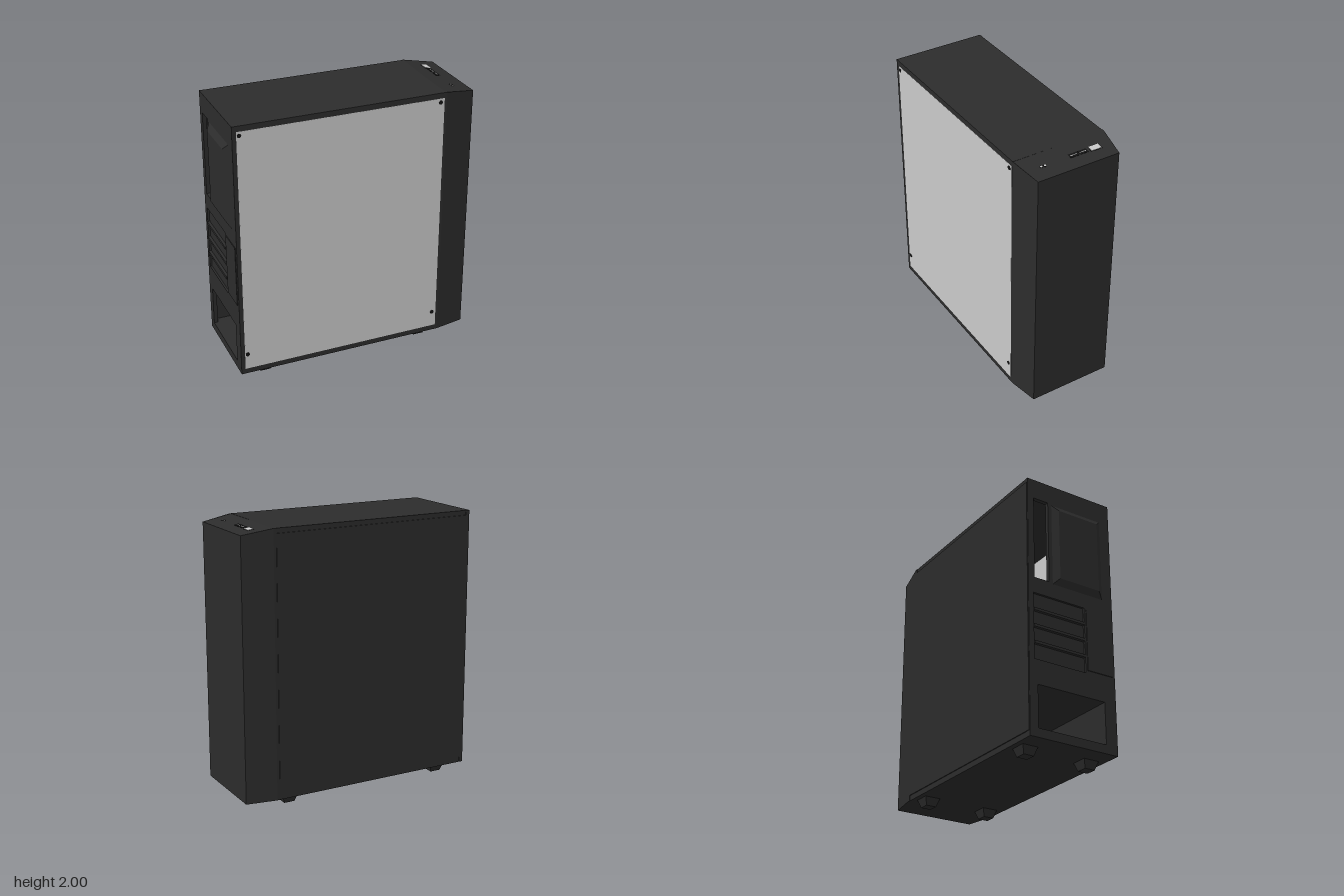
import * as THREE from 'three';

const mat = (name, color) => new THREE.MeshStandardMaterial({ name, color });

export function createModel() {
  const shell = mat('charcoal shell', 0x2c2c2c);
  const black = mat('black', 0x141414);
  const glass = mat('pale glass', 0xcacaca);
  const root = new THREE.Group();
  root.name = 'computerCase';

  const add = (name, geo, material, parent = root) => {
    const m = new THREE.Mesh(geo, material);
    m.name = name;
    parent.add(m);
    return m;
  };
  // Box given by its limits on each axis
  const box = (name, material, [x0, x1], [y0, y1], [z0, z1], parent = root) => {
    const m = add(name, new THREE.BoxGeometry(x1 - x0, y1 - y0, z1 - z0), material, parent);
    m.position.set((x0 + x1) / 2, (y0 + y1) / 2, (z0 + z1) / 2);
    return m;
  };
  // Box whose upper face is scaled by sx, sz
  const frustum = (w, h, d, sx, sz) => {
    const g = new THREE.BoxGeometry(w, h, d);
    const p = g.attributes.position;
    for (let i = 0; i < p.count; i++) {
      if (p.getY(i) > 0) p.setXYZ(i, p.getX(i) * sx, p.getY(i), p.getZ(i) * sz);
    }
    g.computeVertexNormals();
    return g;
  };
  const rect = (T, u0, u1, v0, v1) =>
    new T([[u0, v0], [u1, v0], [u1, v1], [u0, v1]].map(([u, v]) => new THREE.Vector2(u, v)));

  // Hollow shell: roof, floor, solid side panel and glass side
  box('roof', shell, [-0.88, 0.68], [1.96, 2], [-0.35, 0.355]);
  box('floor', shell, [-0.88, 0.68], [0.06, 0.1], [-0.35, 0.355]);
  box('sidePanel', shell, [-0.885, 0.67], [0.1, 1.965], [-0.357, -0.335]);
  box('glassPanel', glass, [-0.86, 0.67], [0.1, 1.96], [0.342, 0.356]);
  for (const x of [-0.84, 0.64]) for (const y of [0.22, 1.93]) {
    const s = add('glassScrew', new THREE.CylinderGeometry(0.015, 0.015, 0.006, 16), black);
    s.rotation.x = Math.PI / 2;
    s.position.set(x, y, 0.3555);
  }

  // Front section: tapered in plan, with a sloping top
  const slopeStart = 0.69, slope = 0.035 / 0.225;
  const plan = new THREE.Shape([[0.67, -0.355], [0.69, -0.355], [0.915, -0.315], [0.915, 0.315],
    [0.69, 0.353], [0.67, 0.353]].map(([x, y]) => new THREE.Vector2(x, y)));
  const hull = new THREE.ExtrudeGeometry(plan, { depth: 1.94, bevelEnabled: false });
  hull.rotateX(-Math.PI / 2).translate(0, 0.06, 0);
  const hp = hull.attributes.position;
  for (let i = 0; i < hp.count; i++) {
    if (hp.getY(i) > 1) hp.setY(i, 2 - slope * Math.max(0, hp.getX(i) - slopeStart));
  }
  hull.computeVertexNormals();
  add('frontSection', hull, shell);

  // Back plate with openings, drawn in z and y
  const back = rect(THREE.Shape, -0.352, 0.355, 0.06, 2);
  back.holes.push(
    rect(THREE.Path, -0.3, -0.18, 1.22, 1.85),
    rect(THREE.Path, -0.31, 0.11, 0.61, 1.1),
    rect(THREE.Path, -0.285, 0.26, 0.125, 0.43));
  const backGeo = new THREE.ExtrudeGeometry(back, { depth: 0.03, bevelEnabled: false });
  backGeo.rotateY(-Math.PI / 2).translate(-0.86, 0, 0);
  add('backPlate', backGeo, shell);

  // Bevelled fan cover
  const fan = add('fanCover', frustum(0.63, 0.03, 0.42, 0.86, 0.79), shell);
  fan.rotation.z = Math.PI / 2;
  fan.position.set(-0.905, 1.525, 0.06);

  // Expansion slot covers with raised dividers
  for (let i = 0; i < 4; i++) {
    const y = 0.61 + i * 0.1225;
    box('slotCover', shell, [-0.875, -0.862], [y, y + 0.1225], [-0.31, 0.11]);
    if (i) box('slotDivider', shell, [-0.896, -0.87], [y - 0.01, y + 0.01], [-0.31, 0.11]);
  }
  box('slotLatchPlate', shell, [-0.895, -0.888], [0.63, 1.09], [0.125, 0.33]);

  // Power supply tunnel behind the lower opening
  box('tunnelRoof', shell, [-0.862, 0.67], [0.43, 0.445], [-0.335, 0.275]);
  box('tunnelWall', shell, [-0.862, 0.67], [0.1, 0.43], [0.26, 0.275]);
  box('tunnelFloor', shell, [-0.862, 0.67], [0.1, 0.125], [-0.335, 0.26]);

  // Feet
  for (const x of [-0.685, 0.565]) for (const z of [-0.25, 0.243]) {
    const f = add('foot', frustum(0.08, 0.06, 0.08, 1.5, 1.5), shell);
    f.position.set(x, 0.03, z);
  }

  // Controls and ports on the sloping top
  const ports = new THREE.Group();
  ports.name = 'topPorts';
  ports.position.set(0.8, 2 - slope * (0.8 - slopeStart), 0);
  ports.rotation.z = -Math.atan(slope);
  root.add(ports);
  box('buttonRim', black, [-0.024, 0.026], [-0.002, 0.001], [-0.243, -0.157], ports);
  box('powerButton', glass, [-0.02, 0.022], [-0.002, 0.003], [-0.238, -0.162], ports);
  for (const z of [-0.105, -0.032]) {
    box('dataPort', black, [-0.018, 0.018], [-0.002, 0.002], [z - 0.034, z + 0.034], ports);
    box('portTongue', glass, [-0.002, 0.003], [-0.002, 0.003], [z - 0.026, z + 0.026], ports);
  }
  for (const z of [0.19, 0.218]) {
    for (const [name, r, h, m] of [['jackRim', 0.012, 0.002, black], ['audioJack', 0.008, 0.005, glass]]) {
      add(name, new THREE.CylinderGeometry(r, r, h, 16), m, ports).position.set(0.003, 0, z);
    }
  }
  return root;
}
